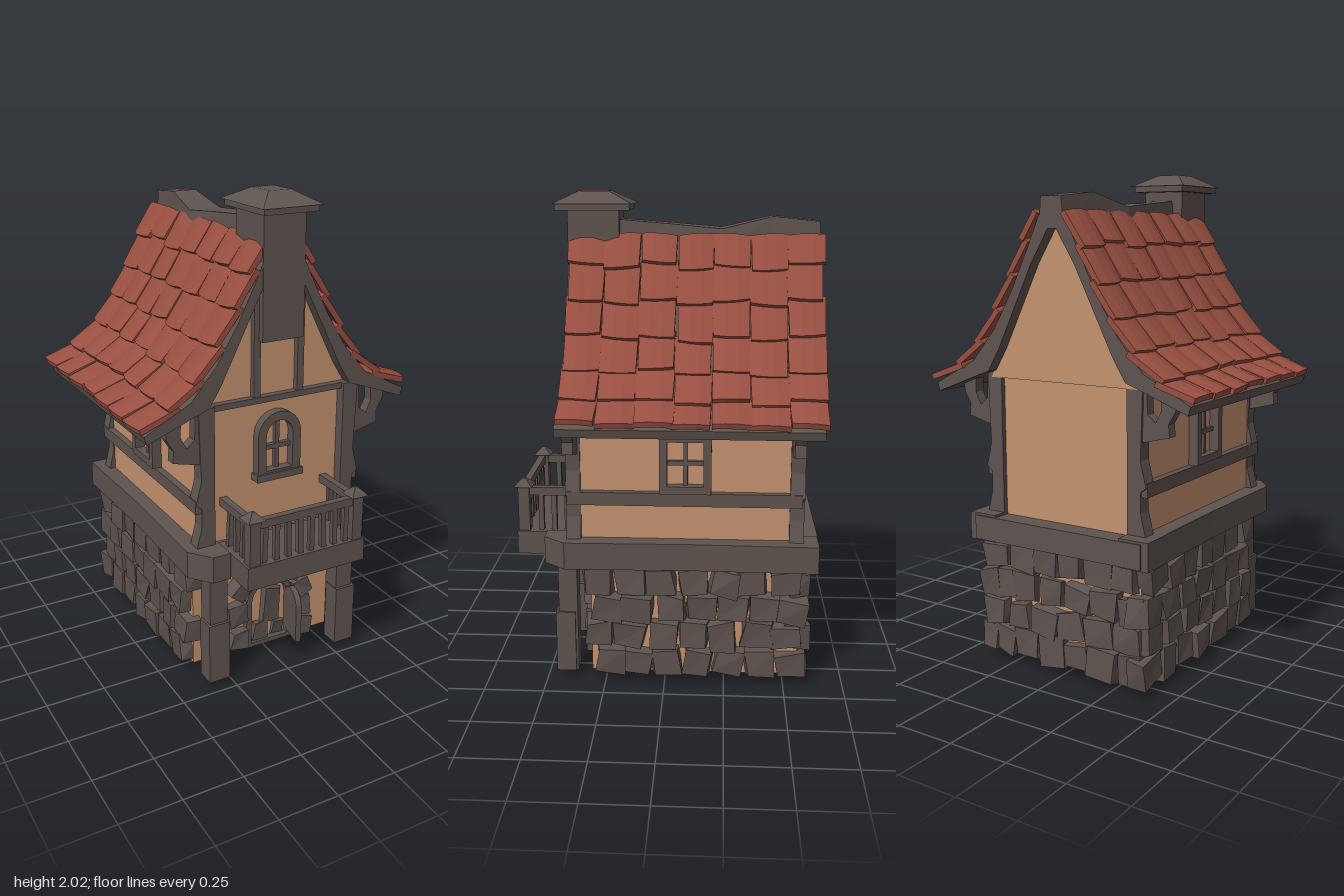
import * as THREE from 'three';

const mat = (name, color) => Object.assign(new THREE.MeshStandardMaterial({ color }), { name });

export function createModel() {
  const plaster = mat('plaster', 0xc4926f);
  const timber = mat('timber and stone', 0x5e534f);
  const clay = mat('roof tile', 0x984f41);
  const model = new THREE.Group();
  model.name = 'cottage';

  let seed = 7;
  const rnd = (a = -1, b = 1) => {
    seed = (seed * 16807) % 2147483647;
    return a + (b - a) * (seed / 2147483647);
  };
  const group = (name, parent = model) => {
    const g = new THREE.Group();
    g.name = name;
    parent.add(g);
    return g;
  };
  const add = (name, geo, m, parent = model) => {
    const mesh = new THREE.Mesh(geo, m);
    mesh.name = name;
    parent.add(mesh);
    return mesh;
  };
  // Box between two corners
  const box = (name, m, [x0, x1], [y0, y1], [z0, z1], parent = model) => {
    const mesh = add(name, new THREE.BoxGeometry(x1 - x0, y1 - y0, z1 - z0), m, parent);
    mesh.position.set((x0 + x1) / 2, (y0 + y1) / 2, (z0 + z1) / 2);
    return mesh;
  };
  const shape = (pts) => new THREE.Shape(pts.map(([x, y]) => new THREE.Vector2(x, y)));
  const extrude = (s, depth, z = 0) =>
    new THREE.ExtrudeGeometry(s, { depth, bevelEnabled: false, curveSegments: 8 }).translate(0, 0, z);
  const flat = (geo) => {
    const g = geo.toNonIndexed();
    g.computeVertexNormals();
    return g;
  };
  // Rough stone: a box with its eight corners displaced
  const stone = (w, h, d, j = 0.012) => {
    const geo = new THREE.BoxGeometry(w, h, d);
    const p = geo.attributes.position;
    const off = Array.from({ length: 8 }, () => [rnd() * j, rnd() * j, rnd() * j * 0.6]);
    for (let i = 0; i < p.count; i++) {
      const x = p.getX(i), y = p.getY(i), z = p.getZ(i);
      const o = off[(x > 0) + 2 * (y > 0) + 4 * (z > 0)];
      const k = z > 0 ? 0.9 : 1;
      p.setXYZ(i, x * k + o[0], y * k + o[1], z + o[2]);
    }
    return flat(geo);
  };

  // Plaster walls
  box('lowerWalls', plaster, [-0.36, 0.36], [0.01, 0.52], [-0.56, 0.31]);
  box('upperWalls', plaster, [-0.355, 0.355], [0.58, 1.18], [-0.55, 0.36]);
  const gablePts = [[0.35, 1.17], [0.26, 1.35], [0.15, 1.57], [0.05, 1.76]];
  const gable = [...gablePts, ...gablePts.map(([x, y]) => [-x, y]).reverse()];
  add('gableWalls', extrude(shape(gable), 0.93, -0.57), plaster);

  // Stone cladding on both sides and the back
  const cladding = group('stoneCladding');
  const clad = (cols, from, to, place) => {
    const step = (to - from) / cols;
    for (let r = 0; r < 4; r++) for (let c = 0; c < cols; c++) {
      const u = from + step * (c + 0.5) + rnd() * 0.012 + (r % 2 ? 0.015 : -0.015);
      const s = add('stone', stone(step * rnd(0.88, 1.1), 0.124 * rnd(0.88, 1.1), rnd(0.07, 0.1)), timber, cladding);
      place(s, u, 0.07 + r * 0.122 + rnd() * 0.008);
      s.rotateZ(rnd() * 0.15);
    }
  };
  for (const s of [-1, 1]) {
    clad(7, -0.59, 0.32, (m, u, y) => { m.position.set(s * 0.365, y, u); m.rotation.y = s * Math.PI / 2; });
  }
  clad(6, -0.38, 0.38, (m, u, y) => { m.position.set(u, y, -0.555); m.rotation.y = Math.PI; });

  // Floor beams around the storey line and the balcony deck
  const floor = group('floorBeams');
  for (const s of [-1, 1]) {
    const plan = shape([[0.28, -0.5], [0.36, -0.5], [0.43, -0.41], [0.42, 0.1], [0.43, 0.63], [0.3, 0.63]].map(([x, y]) => [s * x, y]));
    add('sideBeam', extrude(plan, 0.115, 0.495).rotateX(-Math.PI / 2), timber, floor);
  }
  box('backBeam', timber, [-0.4, 0.4], [0.5, 0.6], [-0.635, -0.5], floor);
  box('floorSlab', timber, [-0.35, 0.35], [0.51, 0.595], [-0.55, 0.42], floor);
  box('balconyDeck', timber, [-0.275, 0.275], [0.5, 0.6], [0.38, 0.63], floor);

  // Posts, side rails and eave brackets
  const frame = group('timberFrame');
  for (const s of [-1, 1]) {
    const X = (a, b) => (s > 0 ? [a, b] : [-b, -a]);
    box('porchPost', timber, X(0.27, 0.35), [0, 0.51], [0.37, 0.45], frame);
    box('porchPostFoot', timber, X(0.265, 0.36), [0, 0.27], [0.38, 0.462], frame);
    const post = [[0.3, 0.58], [0.39, 0.58], [0.36, 0.7], [0.36, 0.78], [0.385, 0.8], [0.36, 0.9], [0.37, 1.2], [0.3, 1.2]];
    const arm = [[0.36, 0.97], [0.42, 0.985], [0.48, 1.0], [0.475, 1.05], [0.505, 1.1], [0.51, 1.17], [0.44, 1.2],
      [0.445, 1.1], [0.42, 1.05], [0.385, 1.08], [0.38, 1.2], [0.35, 1.2]];
    for (const z of [0.345, -0.57]) {
      add('cornerPost', extrude(shape(post.map(([x, y]) => [s * x, y])), 0.06, z), timber, frame);
      add('eaveBracket', extrude(shape(arm.map(([x, y]) => [s * x, y])), 0.045, z + 0.01), timber, frame);
    }
    box('sideRail', timber, X(0.34, 0.385), [0.76, 0.815], [-0.56, 0.4], frame);
    box('gableStud', timber, X(0.085, 0.115), [1.18, 1.6], [0.35, 0.385], frame);
  }
  box('gableBeam', timber, [-0.34, 0.34], [1.175, 1.2], [0.35, 0.39], frame);

  // Curved roof boards
  const roof = group('roof');
  const outer = [[0, 1.84], [0.06, 1.81], [0.12, 1.68], [0.2, 1.52], [0.29, 1.37], [0.4, 1.24], [0.6, 1.135]];
  const inner = [[0.59, 1.1], [0.42, 1.165], [0.325, 1.2], [0.27, 1.29], [0.19, 1.45], [0.1, 1.63], [0, 1.79]];
  for (const s of [-1, 1]) {
    add('roofBoards', extrude(shape([...outer, ...inner].map(([x, y]) => [s * x, y])), 1.03, -0.62), timber, roof);
  }

  // Overlapping tiles, laid in columns down each slope
  const slope = new THREE.CatmullRomCurve3(
    [[0.06, 1.82], [0.13, 1.68], [0.21, 1.52], [0.3, 1.37], [0.41, 1.24], [0.615, 1.13]].map(([x, y]) => new THREE.Vector3(x, y, 0)));
  const ROWS = 6, COLS = 7, colW = 1.04 / COLS;
  const tiles = group('roofTiles', roof);
  for (const s of [-1, 1]) for (let c = 0; c < COLS; c++) {
    const shift = rnd() * 0.014;
    for (let r = 0; r < ROWS; r++) {
      const t0 = Math.max(0, r / ROWS - 0.03 + shift), t1 = Math.min(1, (r + 1) / ROWS + shift + rnd() * 0.01);
      const a = slope.getPointAt(t0), b = slope.getPointAt(t1);
      const ang = Math.atan2(b.y - a.y, b.x - a.x);
      const n = new THREE.Vector3(-Math.sin(ang), Math.cos(ang), 0);
      a.addScaledVector(n, 0.006);
      b.addScaledVector(n, 0.028 + rnd() * 0.005);
      const len = a.distanceTo(b);
      const geo = new THREE.BoxGeometry(len, 0.024, colW * rnd(0.96, 1.04), 1, 1, 3);
      const p = geo.attributes.position;
      const skew = rnd() * 0.09;
      for (let i = 0; i < p.count; i++) {
        const x = p.getX(i), z = p.getZ(i), low = x * s > 0;
        const edge = Math.abs(z) > colW * 0.3;
        p.setXYZ(i, x + z * skew - (low && edge ? s * 0.008 : 0), p.getY(i) + (edge ? -0.003 : 0.006), z * (low ? 0.97 : 1.02));
      }
      const tile = add('tile', flat(geo), clay, tiles);
      tile.position.set((s * (a.x + b.x)) / 2, (a.y + b.y) / 2, 0.405 - colW * (c + 0.5) + rnd() * 0.005);
      tile.rotation.z = s * Math.atan2(b.y - a.y, b.x - a.x);
    }
  }

  // Uneven ridge beam from cross-sections [z, top, left, right]
  const sections = [[0.25, 1.89, -0.04, 0.05], [0.0, 1.87, -0.06, 0.055], [-0.22, 1.85, -0.085, 0.06], [-0.43, 1.9, -0.06, 0.05], [-0.62, 1.88, -0.045, 0.05]];
  const pos = [], idx = [];
  for (const [z, y, l, r] of sections) pos.push(l - 0.01, 1.76, z, l, y, z, r, y, z, r + 0.01, 1.76, z);
  for (let i = 0; i < sections.length - 1; i++) for (let k = 0; k < 4; k++) {
    const a = i * 4 + k, b = i * 4 + ((k + 1) % 4);
    idx.push(a, b, a + 4, b, b + 4, a + 4);
  }
  const e = (sections.length - 1) * 4;
  idx.push(0, 2, 1, 0, 3, 2, e, e + 1, e + 2, e, e + 2, e + 3);
  const ridge = new THREE.BufferGeometry();
  ridge.setAttribute('position', new THREE.Float32BufferAttribute(pos, 3));
  ridge.setIndex(idx);
  add('ridgeBeam', flat(ridge), timber, roof);

  // Chimney with a pyramid cap
  const chimney = group('chimney');
  const pyramid = (r0, r1, h) => flat(new THREE.CylinderGeometry(r0 * Math.SQRT2, r1 * Math.SQRT2, h, 4).rotateY(Math.PI / 4));
  box('chimneyStack', timber, [-0.093, 0.093], [1.43, 1.94], [0.2, 0.412], chimney);
  box('capPlate', timber, [-0.12, 0.12], [1.925, 1.95], [0.155, 0.46], chimney);
  const cap = add('capTop', pyramid(0.05, 0.132, 0.05), timber, chimney);
  cap.position.set(0, 1.975, 0.307);
  cap.scale.z = 1.25;

  // Balcony railing
  const railing = group('balconyRailing');
  const baluster = (x, z) => {
    const b = box('baluster', timber, [x - 0.011, x + 0.011], [0.59, 0.77], [z - 0.011, z + 0.011], railing);
    b.rotation.z = rnd() * 0.05;
  };
  box('frontRail', timber, [-0.24, 0.24], [0.755, 0.79], [0.59, 0.62], railing);
  for (let i = 0; i < 8; i++) baluster(-0.19 + i * 0.0543, 0.605);
  for (const s of [-1, 1]) {
    const x = s * 0.24;
    box('railPost', timber, [x - 0.024, x + 0.024], [0.59, 0.795], [0.577, 0.625], railing);
    add('railPostCap', pyramid(0.006, 0.039, 0.033), timber, railing).position.set(x, 0.811, 0.601);
    box('sideRail', timber, [x - 0.016, x + 0.016], [0.755, 0.79], [0.36, 0.6], railing);
    for (let i = 0; i < 3; i++) baluster(x, 0.42 + i * 0.055);
  }

  // Arched outline, for the window and the door
  const arch = (w, y0, y1, P = THREE.Shape) => {
    const p = new P();
    p.moveTo(-w, y0);
    p.lineTo(w, y0);
    p.lineTo(w, y1 - w);
    p.absarc(0, y1 - w, w, 0, Math.PI, false);
    p.lineTo(-w, y0);
    return p;
  };
  const archFrame = (w, y0, y1, t, base) => {
    const s = arch(w, y0, y1);
    s.holes.push(arch(w - t, y0 + base, y1 - t, THREE.Path));
    return s;
  };

  // Front window
  const frontWindow = group('frontWindow');
  add('windowFrame', extrude(archFrame(0.1, 0.845, 1.13, 0.038, 0.035), 0.045, 0.355), timber, frontWindow);
  box('mullion', timber, [-0.009, 0.009], [0.86, 1.1], [0.355, 0.38], frontWindow);
  box('transom', timber, [-0.07, 0.07], [0.965, 0.985], [0.355, 0.38], frontWindow);
  box('windowSill', timber, [-0.108, 0.108], [0.84, 0.87], [0.355, 0.41], frontWindow);

  // Side windows
  for (const s of [-1, 1]) {
    const w = group('sideWindow');
    const rect = (a, b) => [[-a, -b], [a, -b], [a, b], [-a, b]];
    const f = shape(rect(0.105, 0.125));
    f.holes.push(new THREE.Path(shape(rect(0.073, 0.093)).getPoints()));
    add('windowFrame', extrude(f, 0.045), timber, w);
    box('mullion', timber, [-0.009, 0.009], [-0.1, 0.1], [0, 0.02], w);
    box('transom', timber, [-0.08, 0.08], [-0.009, 0.009], [0, 0.02], w);
    w.position.set(s * 0.352, 0.94, -0.085);
    w.rotation.y = (s * Math.PI) / 2;
  }

  // Doorway with rough surround and an open leaf
  const door = group('doorway');
  const around = [[-0.16, 0.08], [-0.155, 0.21], [-0.14, 0.325], [-0.065, 0.39], [0.025, 0.405], [0.105, 0.36], [0.16, 0.265], [0.15, 0.17], [0.165, 0.07]];
  around.forEach(([x, y], i) => {
    const st = add('surroundStone', stone(0.095, 0.09, 0.08), timber, door);
    st.position.set(x, y, 0.32);
    st.rotation.z = i > 1 && i < 7 ? Math.atan2(y - 0.2, x) - Math.PI / 2 : rnd() * 0.15;
  });
  add('doorFrame', extrude(archFrame(0.115, 0.02, 0.35, 0.025, 0.02), 0.04, 0.3), timber, door);
  for (const [x, y, w, h] of [[0.02, 0.2, 0.11, 0.17], [-0.04, 0.08, 0.08, 0.09], [0.05, 0.07, 0.07, 0.08]]) {
    const st = add('doorwayStone', stone(w, h, 0.03), timber, door);
    st.position.set(x, y, 0.31);
    st.rotation.z = -0.08;
  }
  const leaf = add('doorLeaf', extrude(arch(0.07, 0.06, 0.29), 0.025, -0.0125), timber, door);
  leaf.position.set(0.09, 0, 0.385);
  leaf.rotation.y = 1.4;

  return model;
}
